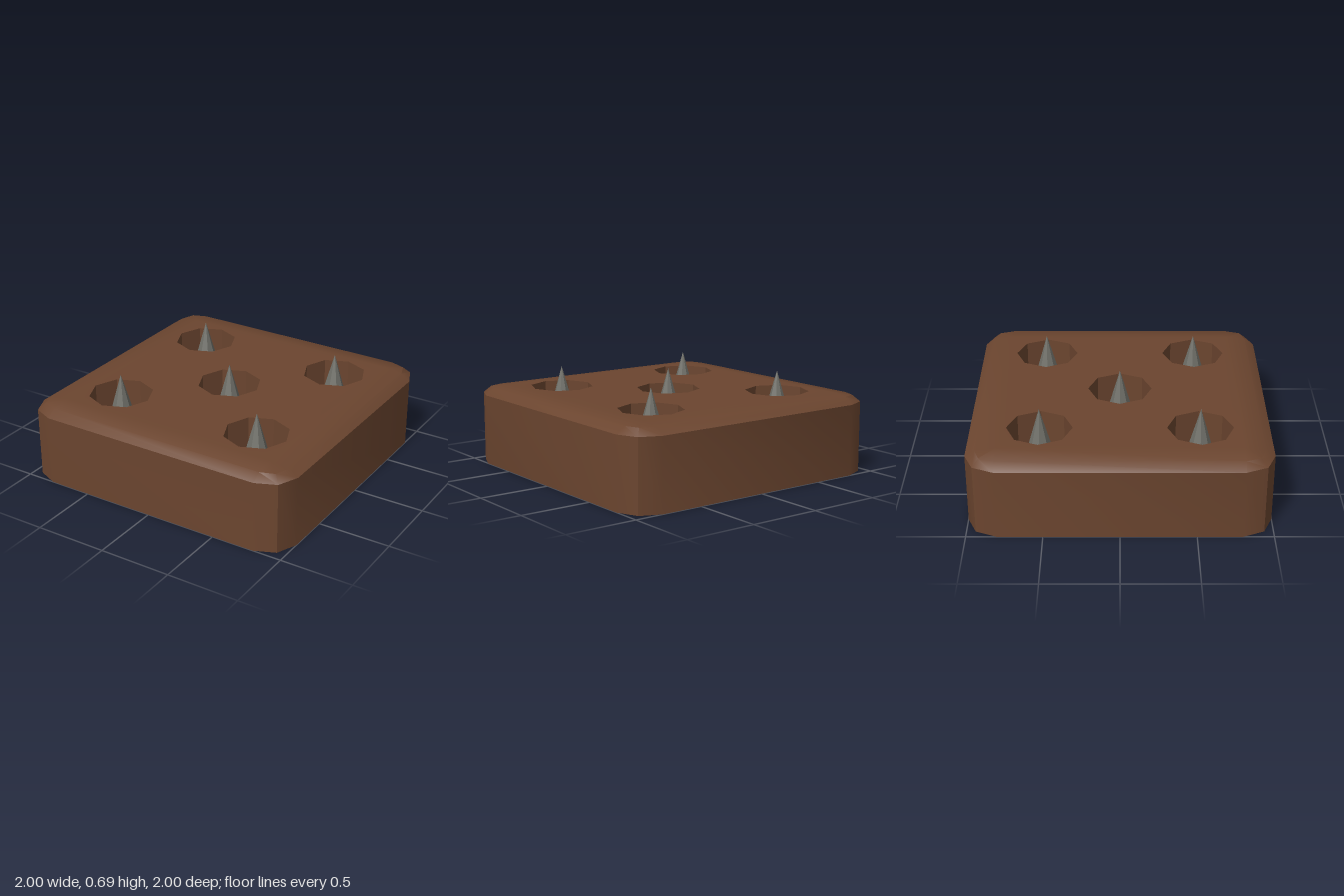
import * as THREE from 'three';
import { mergeGeometries, toCreasedNormals } from 'three/addons/utils/BufferGeometryUtils.js';

const TOP = 0.55, FLOOR = 0.08, HOLE = 0.22;
const SPOTS = [[-0.54, -0.53], [0.54, -0.53], [0, 0], [-0.54, 0.53], [0.54, 0.53]];

// Repeats one rounded corner around all four sides at height y
function ring(y, corner) {
  const pts = [];
  for (let k = 0; k < 4; k++) {
    for (let [x, z] of corner) {
      for (let i = 0; i < k; i++) [x, z] = [-z, x];
      pts.push(new THREE.Vector3(x, y, z));
    }
  }
  return pts;
}

// Sides, rounded top edge and underside of the block
function shellGeometry() {
  const outer = [[1, 0.8], [0.94, 0.94], [0.8, 1]];
  const rings = [
    ring(0, outer),
    ring(0.49, outer),
    ring(0.535, [[0.935, 0.8], [0.9, 0.9], [0.8, 0.935]]),
    ring(TOP, [[0.8, 0.8], [0.8, 0.8], [0.8, 0.8]]),
  ];
  const verts = [];
  const tri = (a, b, c) => {
    if (new THREE.Triangle(a, b, c).getArea() > 1e-6) {
      for (const p of [a, b, c]) verts.push(p.x, p.y, p.z);
    }
  };
  const n = rings[0].length, centre = new THREE.Vector3();
  for (let i = 0; i < n; i++) {
    const j = (i + 1) % n;
    for (let r = 0; r < rings.length - 1; r++) {
      const lo = rings[r], hi = rings[r + 1];
      tri(lo[i], hi[i], hi[j]);
      tri(lo[i], hi[j], lo[j]);
    }
    tri(centre, rings[0][i], rings[0][j]);
  }
  const geo = new THREE.BufferGeometry();
  geo.setAttribute('position', new THREE.Float32BufferAttribute(verts, 3));
  return geo;
}

// Flat top pierced by octagonal holes
function topGeometry() {
  const corner = [[0.8, 0.8], [-0.8, 0.8], [-0.8, -0.8], [0.8, -0.8]];
  const shape = new THREE.Shape(corner.map(([x, y]) => new THREE.Vector2(x, y)));
  for (const [x, z] of SPOTS) {
    const pts = [];
    for (let i = 0; i < 8; i++) {
      const a = -i * Math.PI / 4;
      pts.push(new THREE.Vector2(x + HOLE * Math.cos(a), -z + HOLE * Math.sin(a)));
    }
    shape.holes.push(new THREE.Path(pts));
  }
  const geo = new THREE.ShapeGeometry(shape).rotateX(-Math.PI / 2).translate(0, TOP, 0).toNonIndexed();
  geo.deleteAttribute('uv');
  geo.deleteAttribute('normal');
  return geo;
}

// Gives every facet its own flat normal
function faceted(geo) {
  const flat = geo.toNonIndexed();
  flat.computeVertexNormals();
  return flat;
}

export function createModel() {
  const wood = new THREE.MeshStandardMaterial({ color: 0x6b452f });
  wood.name = 'brown';
  const metal = new THREE.MeshStandardMaterial({ color: 0x6e6e67 });
  metal.name = 'grey metal';

  const group = new THREE.Group();
  group.name = 'spikeTrap';
  const add = (name, geo, mat, x = 0, y = 0, z = 0) => {
    const mesh = new THREE.Mesh(geo, mat);
    mesh.name = name;
    mesh.position.set(x, y, z);
    group.add(mesh);
  };

  add('block', toCreasedNormals(mergeGeometries([shellGeometry(), topGeometry()]), 0.6), wood);

  // Inward-facing hole walls with a floor
  const profile = [[HOLE, TOP], [HOLE, FLOOR], [0, FLOOR]].map(([x, y]) => new THREE.Vector2(x, y));
  const holeGeo = faceted(new THREE.LatheGeometry(profile, 8));
  const spikeHeight = 0.69 - FLOOR;
  const spikeGeo = faceted(new THREE.ConeGeometry(0.175, spikeHeight, 8, 1, true));
  for (const [x, z] of SPOTS) {
    add('hole', holeGeo, wood, x, 0, z);
    add('spike', spikeGeo, metal, x, FLOOR + spikeHeight / 2, z);
  }
  return group;
}
